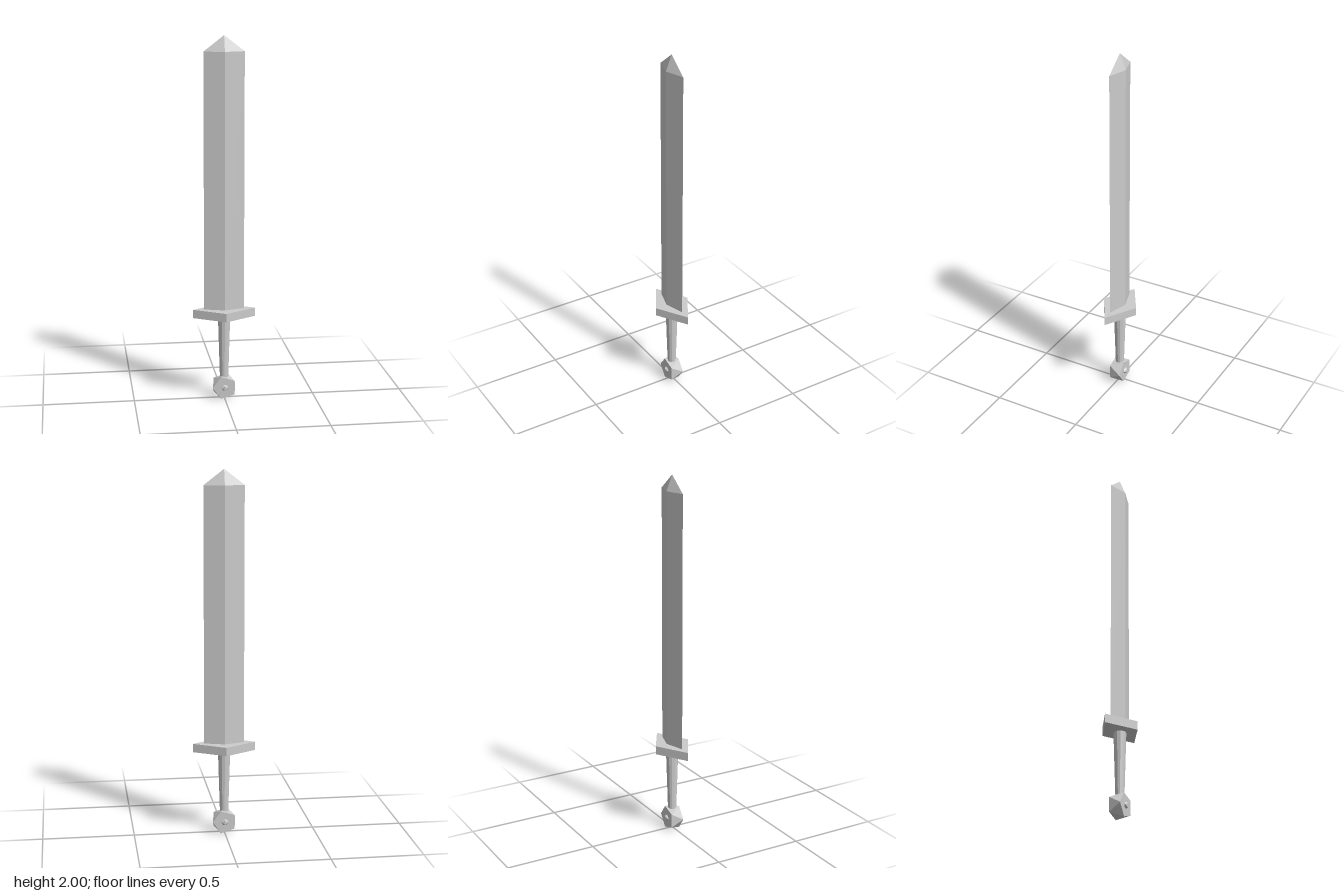
import * as THREE from 'three';

const material = new THREE.MeshStandardMaterial({ color: 0xcccccc, flatShading: true });

function addPart(group, name, geometry, x = 0, y = 0, z = 0) {
  const mesh = new THREE.Mesh(geometry, material);
  mesh.name = name;
  mesh.position.set(x, y, z);
  group.add(mesh);
  return mesh;
}

// Four-sided prism or pyramid with a diamond section, standing on y = 0
function diamond(halfX, halfZ, height, topScale = 1) {
  return new THREE.CylinderGeometry(topScale, 1, height, 4, 1)
    .scale(halfX, 1, halfZ)
    .translate(0, height / 2, 0);
}

// Pentagonal antiprism lying along z: an icosahedron with its two caps cut flat
function antiprism(radius, halfDepth) {
  const positions = [];
  const corner = (i, front) => {
    const a = Math.PI + (i + (front ? 0 : 0.5)) * Math.PI * 2 / 5;
    return [radius * Math.cos(a), radius * Math.sin(a), front ? halfDepth : -halfDepth];
  };
  for (let i = 0; i < 5; i++) {
    const f0 = corner(i, true), f1 = corner(i + 1, true);
    const b0 = corner(i, false), b1 = corner(i + 1, false);
    positions.push(...f0, ...b0, ...f1, ...f1, ...b0, ...b1);
    positions.push(0, 0, halfDepth, ...f0, ...f1, 0, 0, -halfDepth, ...b1, ...b0);
  }
  const geometry = new THREE.BufferGeometry();
  geometry.setAttribute('position', new THREE.Float32BufferAttribute(positions, 3));
  geometry.computeVertexNormals();
  return geometry;
}

export function createModel() {
  const sword = new THREE.Group();
  sword.name = 'sword';

  // Blade and its pointed tip
  addPart(sword, 'blade', diamond(0.11, 0.034, 1.405), 0, 0.51, 0);
  addPart(sword, 'bladeTip', diamond(0.11, 0.034, 0.085, 0), 0, 1.915, 0);

  // Diamond crossguard
  addPart(sword, 'guard', diamond(0.172, 0.103, 0.047), 0, 0.463, 0);

  // Grip, tapering towards the pommel
  addPart(sword, 'grip', new THREE.CylinderGeometry(0.034, 0.023, 0.363, 12), 0, 0.2835, 0);

  // Pommel with a small stud on each face
  addPart(sword, 'pommel', antiprism(0.067, 0.034), 0, 0.064, 0);
  for (const side of [1, -1]) {
    addPart(sword, side > 0 ? 'frontStud' : 'backStud',
      new THREE.IcosahedronGeometry(0.022, 0), 0, 0.064, side * 0.028);
  }
  return sword;
}
